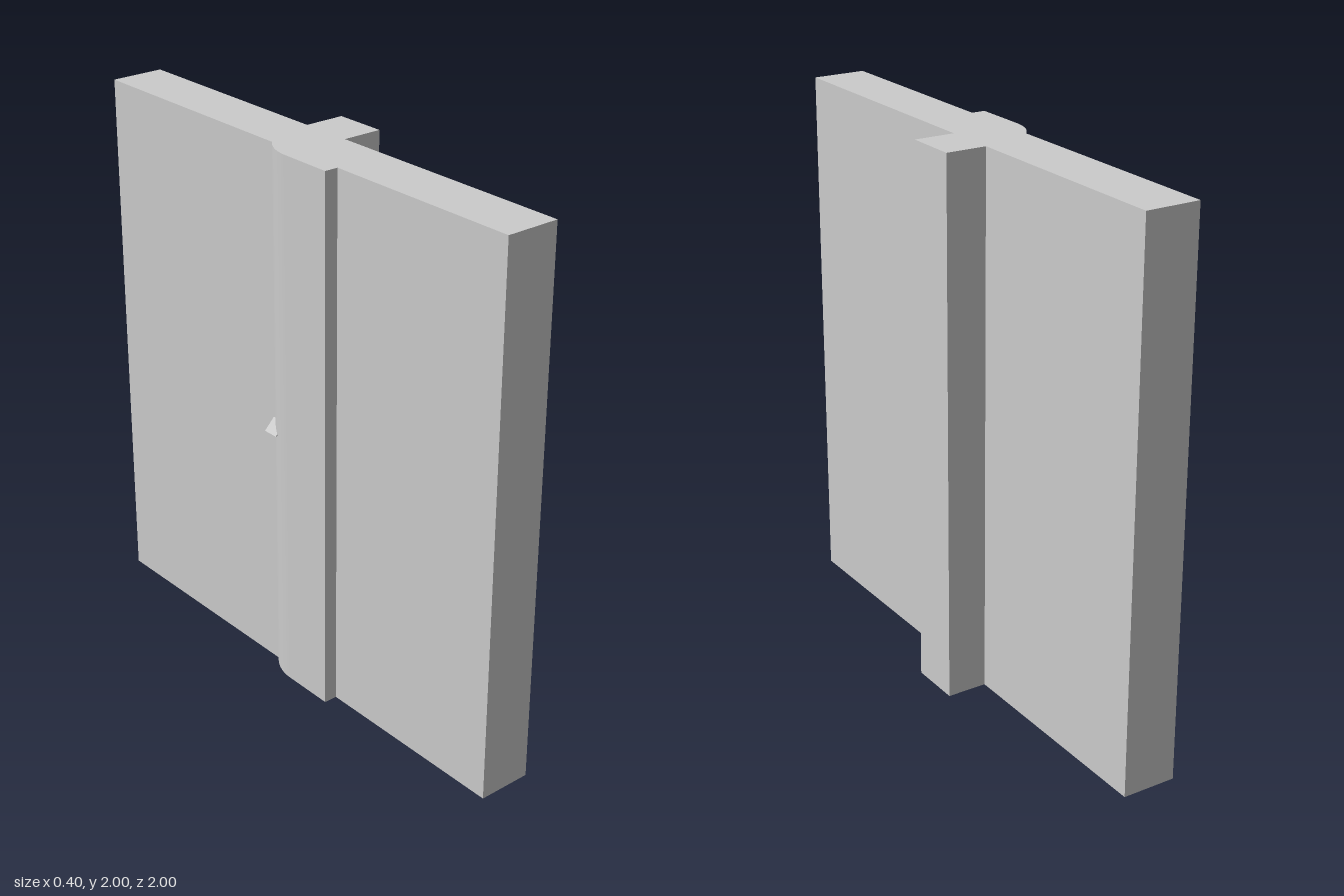
import * as THREE from 'three';
import { toCreasedNormals } from 'three/addons/utils/BufferGeometryUtils.js';

const material = new THREE.MeshStandardMaterial({ color: 0xcccccc });

export function createModel() {
  const group = new THREE.Group();

  // wall plan (x, -z) with a square pilaster on one side and a rounded rib on the other
  const plan = new THREE.Shape();
  plan.moveTo(0.05, -1);
  for (const [x, y] of [[0.05, -0.04], [0.2, -0.04], [0.2, 0.155], [0.05, 0.155],
    [0.05, 1], [-0.15, 1], [-0.15, 0.09]]) plan.lineTo(x, y);
  plan.absarc(-0.006, -0.04, 0.194, Math.PI - 0.734, Math.PI, false);
  for (const [x, y] of [[-0.2, -0.24], [-0.15, -0.24], [-0.15, -1]]) plan.lineTo(x, y);
  plan.closePath();

  const wallGeometry = new THREE.ExtrudeGeometry(plan, { depth: 2, bevelEnabled: false, curveSegments: 8 });
  wallGeometry.rotateX(-Math.PI / 2);
  const wall = new THREE.Mesh(toCreasedNormals(wallGeometry, 0.3), material);
  wall.name = 'wallWithRibs';
  group.add(wall);

  // small wedge with a sloping top, growing outwards from a wall face
  function addWedge(name, wallX, side, z) {
    const tri = new THREE.Shape();
    tri.moveTo(wallX, 0.955);
    tri.lineTo(wallX + side * 0.04, 0.955);
    tri.lineTo(wallX, 0.997);
    tri.closePath();
    const geometry = new THREE.ExtrudeGeometry(tri, { depth: 0.06, bevelEnabled: false });
    const wedge = new THREE.Mesh(geometry, material);
    wedge.position.z = z;
    wedge.name = name;
    group.add(wedge);
  }
  addWedge('leftWedge', 0.05, 1, 0.04);
  addWedge('rightWedge', -0.15, -1, -0.1);

  return group;
}
